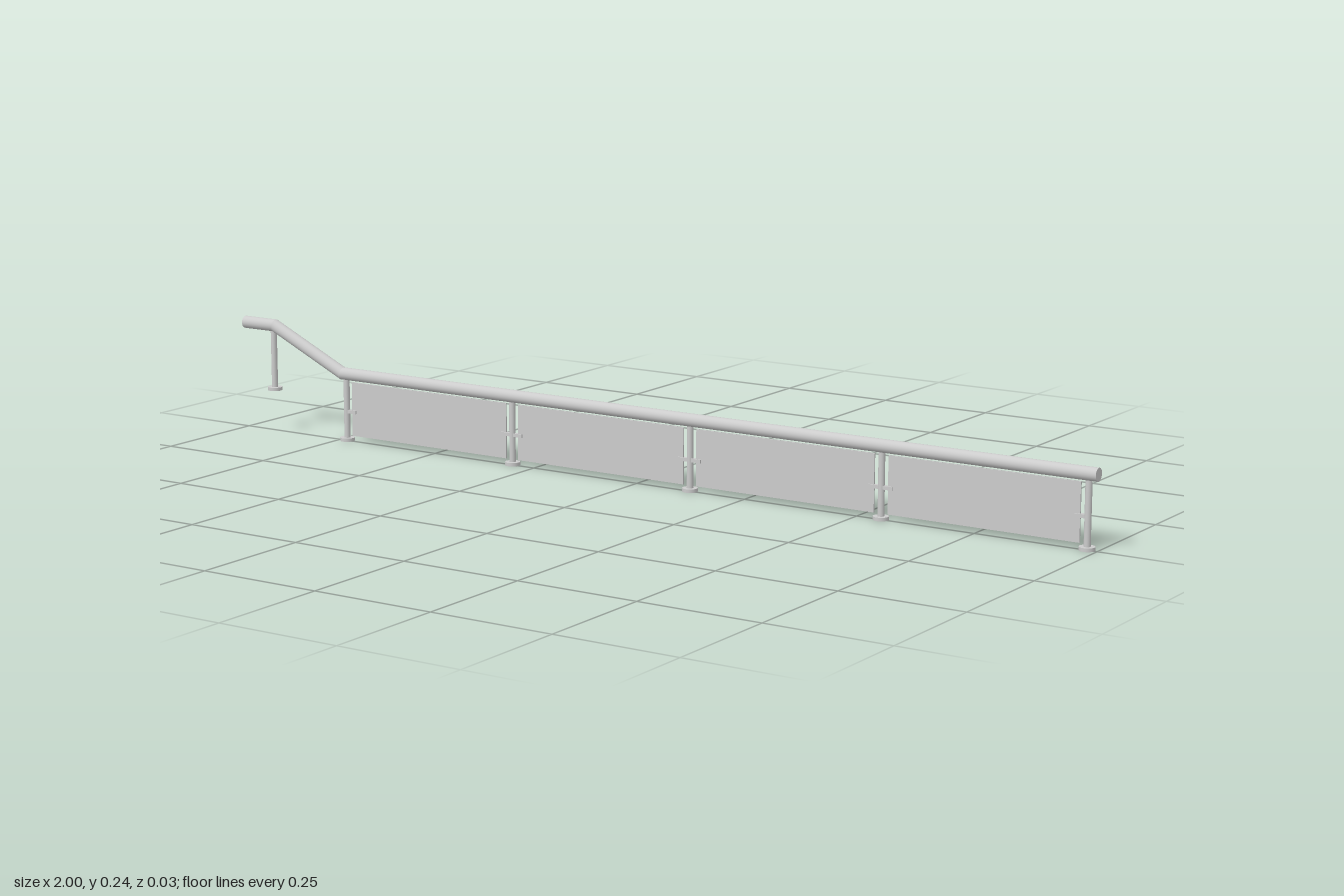
import * as THREE from 'three';

const steel = new THREE.MeshStandardMaterial({ color: 0xcccccc });

function add(parent, name, geometry, x, y, z) {
  const mesh = new THREE.Mesh(geometry, steel);
  mesh.name = name;
  mesh.position.set(x, y, z);
  parent.add(mesh);
  return mesh;
}

// Round rail along a path in the xy plane, with mitred joints
function makeRail(points, radius) {
  const rail = new THREE.Group();
  rail.name = 'handrail';
  const angles = points.slice(1).map((p, i) => Math.atan2(p[1] - points[i][1], p[0] - points[i][0]));
  angles.forEach((angle, i) => {
    const [a, b] = [points[i], points[i + 1]];
    const length = Math.hypot(b[0] - a[0], b[1] - a[1]);
    const startMitre = i > 0 ? Math.tan((angle - angles[i - 1]) / 2) : 0;
    const endMitre = i < angles.length - 1 ? Math.tan((angles[i + 1] - angle) / 2) : 0;
    const geometry = new THREE.CylinderGeometry(radius, radius, length, 24);
    const pos = geometry.attributes.position;
    for (let k = 0; k < pos.count; k++) {
      const x = pos.getX(k), y = pos.getY(k);
      pos.setY(k, y > 0 ? y + x * endMitre : y - x * startMitre);
    }
    geometry.rotateZ(angle - Math.PI / 2);
    add(rail, 'railSection', geometry, (a[0] + b[0]) / 2, (a[1] + b[1]) / 2, 0);
  });
  return rail;
}

// Upright with a round foot plate
function makePost(x, bottom, top) {
  const post = new THREE.Group();
  post.name = 'post';
  add(post, 'upright', new THREE.CylinderGeometry(0.0065, 0.0065, top - bottom, 16), x, (top + bottom) / 2, 0);
  add(post, 'footPlate', new THREE.CylinderGeometry(0.0155, 0.0155, 0.007, 24), x, bottom + 0.0035, 0);
  return post;
}

export function createModel() {
  const model = new THREE.Group();
  model.name = 'railing';

  // Handrail: raised end, slope, long level run
  const rail = makeRail([[-1, 0.227], [-0.92, 0.227], [-0.738, 0.143], [1, 0.143]], 0.013);
  rail.position.z = 0.002;
  model.add(rail);

  // Posts, the first on the raised level
  model.add(makePost(-0.925, 0.087, 0.222));
  const first = -0.73, spacing = 0.4275, bays = 4;
  for (let i = 0; i <= bays; i++) {
    const x = first + i * spacing;
    model.add(makePost(x, 0, 0.138));
    // Clamps reaching from the post to each neighbouring panel
    for (const side of [-1, 1]) {
      if ((i === 0 && side < 0) || (i === bays && side > 0)) continue;
      add(model, 'panelClamp', new THREE.BoxGeometry(0.026, 0.007, 0.009), x + side * 0.013, 0.063, 0);
    }
  }

  // Thin infill panels between the posts
  for (let i = 0; i < bays; i++) {
    const x = first + (i + 0.5) * spacing;
    add(model, 'panel', new THREE.BoxGeometry(spacing - 0.03, 0.114, 0.003), x, 0.069, 0);
  }
  return model;
}
